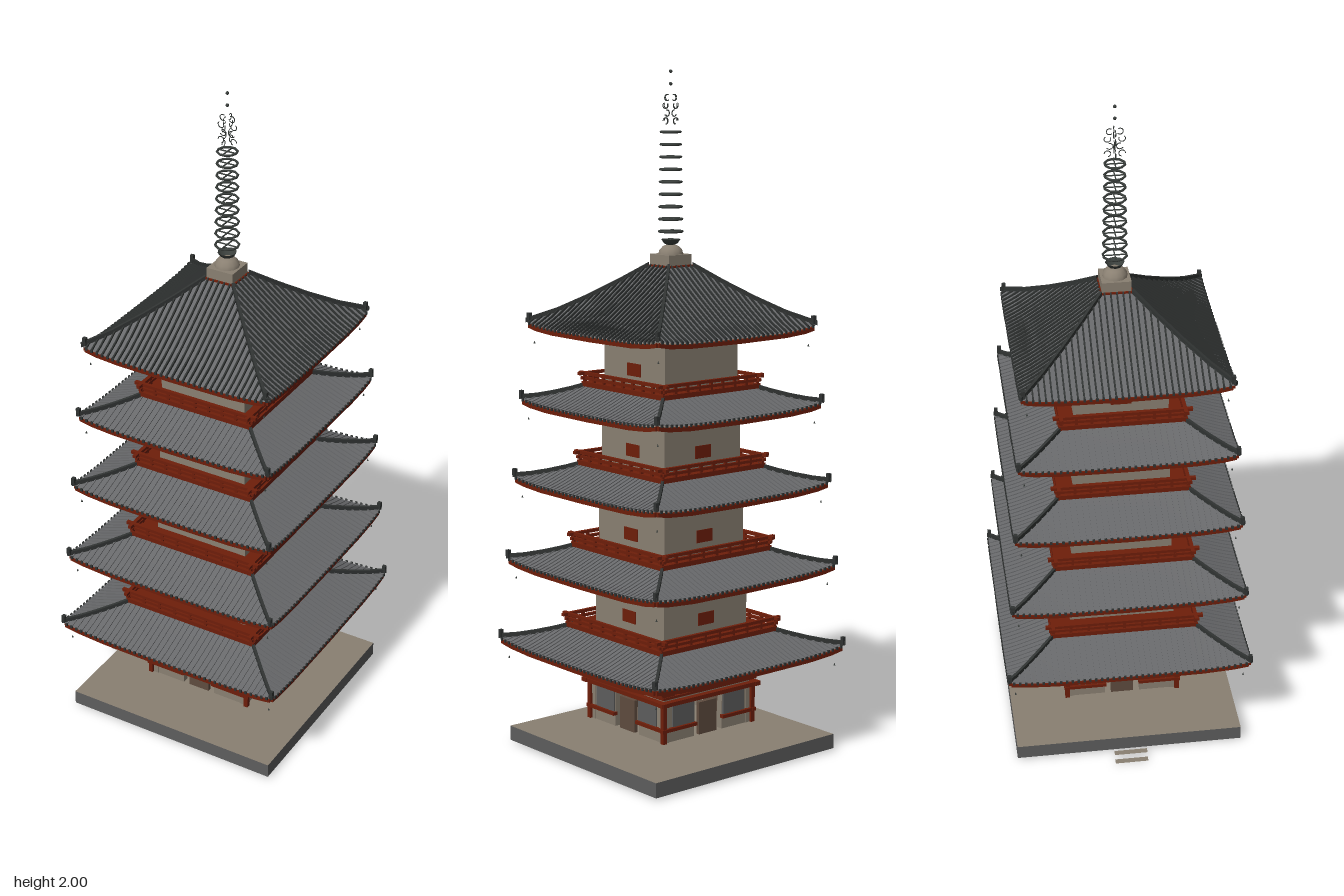
import * as THREE from 'three';
import { mergeGeometries } from 'three/addons/utils/BufferGeometryUtils.js';

const mat = (name, color, side = THREE.FrontSide) => {
  const m = new THREE.MeshStandardMaterial({ color, side });
  m.name = name;
  return m;
};

export function createModel() {
  const wall = mat('plaster', 0x8a8072, THREE.DoubleSide);
  const red = mat('redTimber', 0x6e1e0a);
  const tile = mat('roofTile', 0x68696b, THREE.DoubleSide);
  const rib = mat('ribTile', 0x303332);
  const stone = mat('stone', 0x5e5e5e);
  const wood = mat('doorWood', 0x5f4c3f);
  const metal = mat('spireMetal', 0x3b403d, THREE.DoubleSide);

  const root = new THREE.Group();
  root.name = 'pagoda';
  const tower = new THREE.Group();
  tower.name = 'tower';
  tower.position.x = 0.014;
  root.add(tower);

  const add = (parent, name, geo, m) => {
    const mesh = new THREE.Mesh(geo, m);
    mesh.name = name;
    parent.add(mesh);
    return mesh;
  };
  const boxGeo = (w, h, d, x, y, z) => new THREE.BoxGeometry(w, h, d).translate(x, y, z);
  const box = (parent, name, m, ...a) => add(parent, name, boxGeo(...a), m);
  const boxes = (parent, name, m, list) => add(parent, name, mergeGeometries(list.map(a => boxGeo(...a))), m);

  // Runs one builder for each of the four faces of the tower
  const fourSides = (name, build) => {
    for (let k = 0; k < 4; k++) {
      const g = new THREE.Group();
      g.name = name;
      g.rotation.y = k * Math.PI / 2;
      tower.add(g);
      build(g, k);
    }
  };

  // Rectangular bar swept along a list of points
  const sweep = (pts, w, h) => {
    const out = [], up = new THREE.Vector3(0, 1, 0);
    const rings = pts.map((p, i) => {
      const d = pts[Math.min(i + 1, pts.length - 1)].clone().sub(pts[Math.max(i - 1, 0)]);
      const n = d.cross(up).normalize().multiplyScalar(w / 2);
      return [[-1, -1], [1, -1], [1, 1], [-1, 1]].map(([a, b]) =>
        p.clone().addScaledVector(n, a).addScaledVector(up, b * h / 2));
    });
    const tri = (...v) => v.forEach(q => out.push(q.x, q.y, q.z));
    for (let i = 0; i + 1 < rings.length; i++) {
      for (let a = 0; a < 4; a++) {
        const b = (a + 1) % 4, r = rings[i], s = rings[i + 1];
        tri(r[a], s[a], s[b]);
        tri(r[a], s[b], r[b]);
      }
    }
    const [f, e] = [rings[0], rings[rings.length - 1]];
    tri(f[0], f[1], f[2]); tri(f[0], f[2], f[3]);
    tri(e[0], e[2], e[1]); tri(e[0], e[3], e[2]);
    const g = new THREE.BufferGeometry();
    g.setAttribute('position', new THREE.Float32BufferAttribute(out, 3));
    g.computeVertexNormals();
    return g;
  };

  // Sheet whose points follow a rule of u (-1..1 across) and t (0..1 inward)
  const sheet = (rule, nu, nt) => {
    const g = new THREE.PlaneGeometry(1, 1, nu, nt);
    const p = g.attributes.position;
    for (let i = 0; i < p.count; i++) {
      const v = rule(p.getX(i) * 2, p.getY(i) + 0.5);
      p.setXYZ(i, v.x, v.y, v.z);
    }
    g.computeVertexNormals();
    return g;
  };

  // Tiled roof: curved slopes, ribs, hip ridges, red eave and soffit
  const roof = ({ eave, top, y, rise, inner, ribW, ribH, ribMat }) => {
    const at = (u, t, lift = 0) => {
      const h = eave + (top - eave) * t;
      return new THREE.Vector3(u * h,
        y + lift + rise * t ** 1.15 + 0.014 * Math.abs(u) ** 4 * (1 - t) ** 2, h);
    };
    const steps = [0, 0.25, 0.5, 0.75, 1];
    fourSides('roofSide', g => {
      add(g, 'roofSlope', sheet((u, t) => at(u, t), 16, 6), tile);
      const ribs = [], ends = [], n = Math.round(eave / 0.0172);
      for (let i = -n + 1; i < n; i++) {
        const x = i * eave / n;
        const end = Math.min(1, (eave - Math.abs(x)) / (eave - top));
        ribs.push(sweep(steps.map(s => at(x / (eave + (top - eave) * s * end), s * end, ribH / 4)), ribW, ribH));
        const e = at(x / eave, 0);
        ends.push([0.007, 0.009, 0.004, x, e.y, eave + 0.001]);
      }
      add(g, 'roofRibs', mergeGeometries(ribs), ribMat);
      boxes(g, 'eaveEndTiles', rib, ends);
      add(g, 'hipRidge', sweep(steps.map(t => at(1, t, 0.005)), 0.008, 0.013), rib);
      const tip = at(1, 0.03);
      box(g, 'ridgeEndTile', rib, 0.011, 0.024, 0.011, tip.x, tip.y + 0.012, tip.z);
      const edge = [-1, -0.85, -0.6, 0, 0.6, 0.85, 1].map(u => at(u, 0, -0.011).setZ(eave - 0.009));
      edge[0].x += 0.009;
      edge[6].x -= 0.009;
      add(g, 'eaveBoard', sweep(edge, 0.014, 0.012), red);
      add(g, 'soffit', sheet((u, t) => {
        const h = eave - 0.01 + (inner - eave) * t;
        return new THREE.Vector3(u * h,
          y - 0.013 + 0.022 * t + 0.014 * Math.abs(u) ** 4 * (1 - t) ** 2, h);
      }, 12, 2), wall);
      const bell = add(g, 'cornerBell', new THREE.ConeGeometry(0.003, 0.008, 6), metal);
      bell.position.set(eave * 0.94, y - 0.045, eave * 0.94);
    });
  };

  // Stone platform with a plaster-coloured top and underside
  box(tower, 'platform', [stone, stone, wall, wall, stone, stone], 0.686, 0.044, 0.686, 0, 0.028, 0);
  for (const [name, x, y] of [['lowerTread', -0.377, 0], ['upperTread', -0.357, 0.016]]) {
    const tread = add(root, name, new THREE.PlaneGeometry(0.018, 0.1).rotateX(-Math.PI / 2), wall);
    tread.position.set(x, y, 0);
  }

  // Ground floor: open corners of wall on each side of a door
  fourSides('groundFloorSide', g => {
    for (const s of [-1, 1]) {
      box(g, 'wallPanel', wall, 0.116, 0.117, 0.02, s * 0.112, 0.142, 0.158);
      box(g, 'latticeWindow', stone, 0.082, 0.068, 0.006, s * 0.097, 0.162, 0.17);
      box(g, 'wallRail', red, 0.13, 0.01, 0.014, s * 0.115, 0.122, 0.172);
    }
    box(g, 'cornerPost', red, 0.014, 0.117, 0.014, 0.17, 0.142, 0.17);
    box(g, 'door', wood, 0.068, 0.097, 0.012, 0, 0.132, 0.162);
    box(g, 'headBeam', red, 0.38, 0.012, 0.02, 0, 0.202, 0.178);
    // Stepped brackets carrying the lowest eave
    boxes(g, 'bracketBeams', red, [
      [0.36, 0.007, 0.012, 0, 0.219, 0.174], [0.44, 0.009, 0.012, 0, 0.25, 0.212],
      [0.54, 0.009, 0.012, 0, 0.272, 0.258], [0.6, 0.009, 0.012, 0, 0.29, 0.295]]);
    const arms = [];
    for (const x of [-0.165, -0.055, 0.055, 0.165]) {
      arms.push([0.045, 0.022, 0.025, x, 0.238, 0.176], [0.014, 0.012, 0.08, x, 0.256, 0.205],
        [0.014, 0.012, 0.12, x, 0.276, 0.235]);
    }
    boxes(g, 'bracketArms', red, arms);
    const hip = [[0.16, 0.235], [0.22, 0.262], [0.29, 0.285]].map(([h, y]) => new THREE.Vector3(h, y, h));
    add(g, 'cornerBracket', sweep(hip, 0.016, 0.014), red);
  });
  box(tower, 'groundFloorTop', wall, 0.33, 0.11, 0.33, 0, 0.254, 0);

  // Upper storeys: [eave half, eave y, body half above, body top, balcony half]
  const storeys = [
    [0.365, 0.31, 0.158, 0.57, 0.238], [0.347, 0.554, 0.15, 0.815, 0.225],
    [0.331, 0.8, 0.143, 1.05, 0.211], [0.315, 1.034, 0.137, 1.27, 0.2]];
  storeys.forEach(([eave, y, body, bodyTop, rail], i) => {
    const inner = i ? storeys[i - 1][2] : 0.165;
    roof({ eave, top: rail - 0.03, y, rise: 0.056, inner, ribW: 0.004, ribH: 0.004, ribMat: tile });
    const floor = y + 0.06, mid = (floor - 0.03 + bodyTop) / 2;
    box(tower, 'storeyWalls', wall, body * 2, bodyTop - floor + 0.03, body * 2, 0, mid, 0);
    box(tower, 'balconyFloor', red, rail * 2 - 0.03, 0.014, rail * 2 - 0.03, 0, floor, 0);
    fourSides('storeySide', (g, k) => {
      const z = rail - 0.022, list = [
        [rail * 2, 0.009, 0.011, 0, floor + 0.031, z],
        [rail * 2 - 0.02, 0.008, 0.009, 0, floor + 0.017, z]];
      for (let p = -4; p <= 4; p++) list.push([0.008, 0.03, 0.008, p * z / 4, floor + 0.014, z]);
      boxes(g, 'balconyRail', red, list);
      if (i < 3 || k % 2) box(g, 'storeyWindow', red, 0.06, 0.037, 0.004, 0, floor + 0.056, body);
      // Small brackets tucked under the next eave
      const under = bodyTop - 0.026, parts = [[body * 2 + 0.06, 0.008, 0.01, 0, under + 0.005, body + 0.03],
        [body * 2 + 0.12, 0.008, 0.01, 0, under + 0.009, body + 0.06]];
      for (let b = -3; b <= 3; b++) {
        parts.push([0.012, 0.01, 0.075, b * body / 3, under, body + 0.03],
          [0.026, 0.008, 0.012, b * body / 3, under - 0.004, body + 0.006]);
      }
      boxes(g, 'eaveBrackets', red, parts);
    });
  });
  roof({ eave: 0.3, top: 0.045, y: 1.26, rise: 0.18, inner: 0.137, ribW: 0.0045, ribH: 0.009, ribMat: rib });

  // Spire: plinth, dome, nine rings, flame curls and jewels
  box(tower, 'spireSill', red, 0.092, 0.006, 0.092, 0, 1.441, 0);
  box(tower, 'spirePlinth', wall, 0.084, 0.03, 0.084, 0, 1.46, 0);
  const dome = [[0.036, 1.475], [0.034, 1.486], [0.024, 1.497], [0.012, 1.502], [0, 1.503]];
  add(tower, 'spireDome', new THREE.LatheGeometry(dome.map(p => new THREE.Vector2(...p)), 12), wall);
  const lotus = [[0.008, 1.5], [0.02, 1.506], [0.028, 1.518]];
  add(tower, 'lotusCup', new THREE.LatheGeometry(lotus.map(p => new THREE.Vector2(...p)), 8), metal);
  for (let i = 0; i < 9; i++) {
    const r = 0.034 - i * 0.0007, y = 1.54 + i * 0.0355;
    const ring = add(tower, 'spireRing', new THREE.TorusGeometry(r, 0.0035, 5, 10).rotateX(Math.PI / 2), metal);
    ring.position.y = y;
    boxes(tower, 'ringSpokes', metal, [[r * 2, 0.003, 0.003, 0, y, 0], [0.003, 0.003, r * 2, 0, y, 0]]);
  }
  fourSides('flameFin', g => {
    for (let i = 0; i < 4; i++) {
      const curl = add(g, 'flameCurl', new THREE.TorusGeometry(0.009, 0.0015, 3, 8, 4.5), metal);
      curl.position.set(0.02 - (i % 2) * 0.006, 1.855 + i * 0.022, 0);
      curl.rotation.z = i * 1.3;
    }
  });
  for (const [y, r] of [[1.96, 0.005], [1.995, 0.005]]) {
    add(tower, 'spireJewel', new THREE.SphereGeometry(r, 8, 6), metal).position.y = y;
  }
  return root;
}
